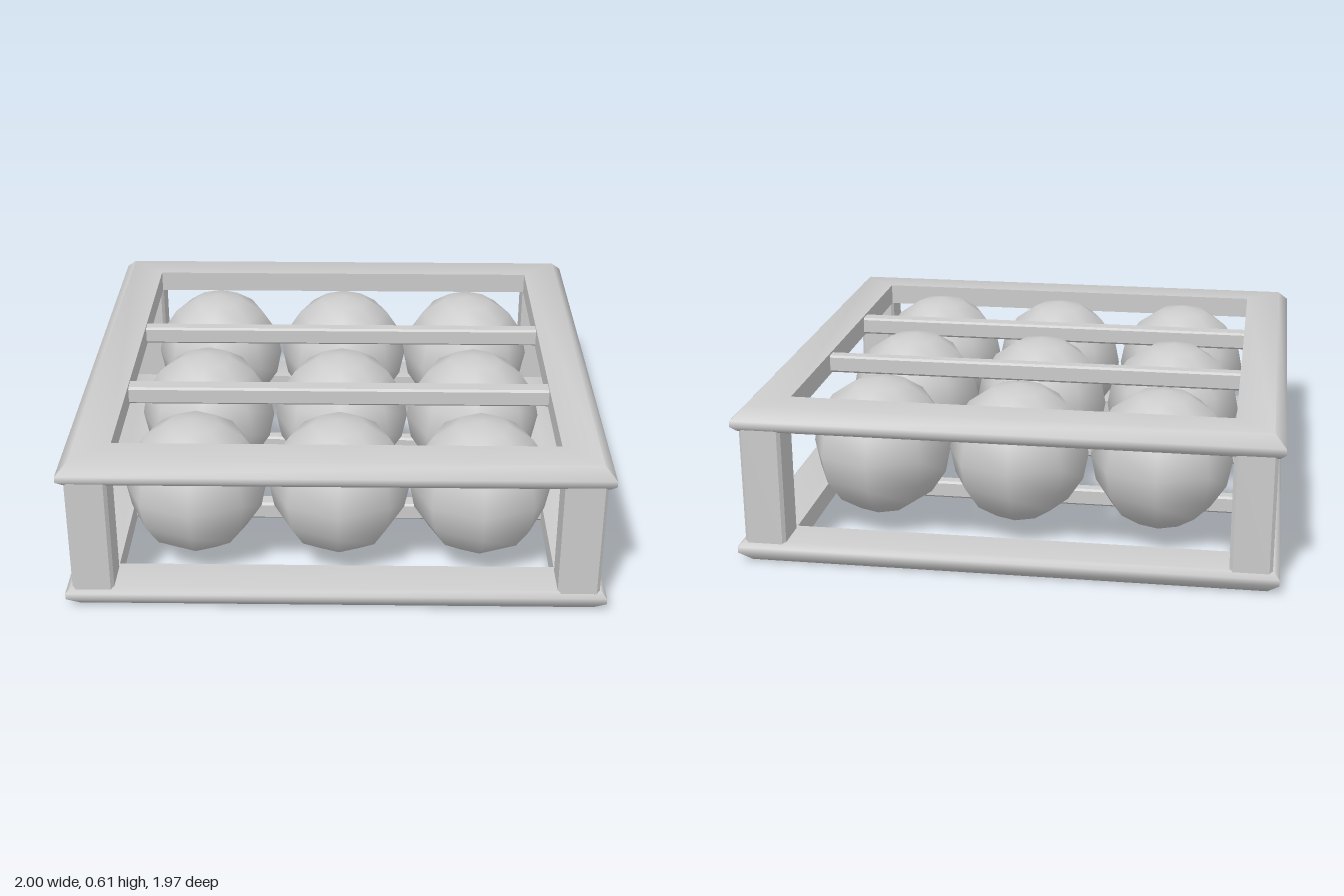
import * as THREE from 'three';
import { toCreasedNormals } from 'three/addons/utils/BufferGeometryUtils.js';

const material = new THREE.MeshStandardMaterial({ color: 0xcccccc });

function add(parent, name, geometry, x = 0, y = 0, z = 0) {
  const mesh = new THREE.Mesh(geometry, material);
  mesh.name = name;
  mesh.position.set(x, y, z);
  parent.add(mesh);
  return mesh;
}

const HX = 1, HZ = 0.985, FRAME_H = 0.085, HEIGHT = 0.605;

// Mitred rectangular ring; profile points are [inset from the outer edge, height]
function ringGeometry(profile) {
  const corners = [[1, 1], [1, -1], [-1, -1], [-1, 1]];
  const n = profile.length, positions = [], index = [];
  for (const [sx, sz] of corners) {
    for (const [inset, y] of profile) positions.push(sx * (HX - inset), y, sz * (HZ - inset));
  }
  for (let c = 0; c < 4; c++) {
    const d = (c + 1) % 4;
    for (let i = 0; i < n; i++) {
      const j = (i + 1) % n;
      const a = c * n + i, b = d * n + i, e = d * n + j, f = c * n + j;
      index.push(a, b, e, a, e, f);
    }
  }
  const geometry = new THREE.BufferGeometry();
  geometry.setAttribute('position', new THREE.Float32BufferAttribute(positions, 3));
  geometry.setIndex(index);
  return toCreasedNormals(geometry, 0.9);
}

// Square prism along z with small chamfers on its long edges
function chamferedPrism(w, h, length, c) {
  const x = w / 2, y = h / 2;
  const shape = new THREE.Shape([
    [x - c, -y], [x, -y + c], [x, y - c], [x - c, y],
    [-x + c, y], [-x, y - c], [-x, -y + c], [-x + c, -y],
  ].map(([u, v]) => new THREE.Vector2(u, v)));
  return new THREE.ExtrudeGeometry(shape, { depth: length, bevelEnabled: false })
    .translate(0, 0, -length / 2);
}

export function createModel() {
  const model = new THREE.Group();
  model.name = 'ballRack';

  // Upper and lower frames, mirrored, with a large chamfer on the outer face
  const upper = [
    [0.18, 0], [0.02, 0], [0, 0.02], [0, 0.043], [0.042, FRAME_H], [0.18, FRAME_H],
  ];
  const lower = upper.map(([d, y]) => [d, FRAME_H - y]).reverse();
  add(model, 'upperFrame', ringGeometry(upper), 0, HEIGHT - FRAME_H, 0);
  add(model, 'lowerFrame', ringGeometry(lower));

  // Cross bars between the rows, in both frames
  for (const [z, width] of [[-0.243, 0.056], [0.31, 0.07]]) {
    const bar = chamferedPrism(width, 0.07, 1.68, 0.008).rotateY(Math.PI / 2);
    add(model, 'upperCrossBar', bar, 0, HEIGHT - 0.043, z);
    add(model, 'lowerCrossBar', bar, 0, 0.043, z);
  }

  // Corner posts
  const post = chamferedPrism(0.155, 0.155, HEIGHT - 2 * FRAME_H + 0.02, 0.012).rotateX(Math.PI / 2);
  for (const x of [-0.897, 0.897]) {
    for (const z of [-0.893, 0.895]) add(model, 'cornerPost', post, x, HEIGHT / 2, z);
  }

  // Three by three balls
  const ball = new THREE.SphereGeometry(0.27, 8, 8);
  for (const z of [-0.545, 0.055, 0.62]) {
    for (const x of [-0.54, 0.008, 0.545]) add(model, 'ball', ball, x, 0.34, z);
  }
  return model;
}
